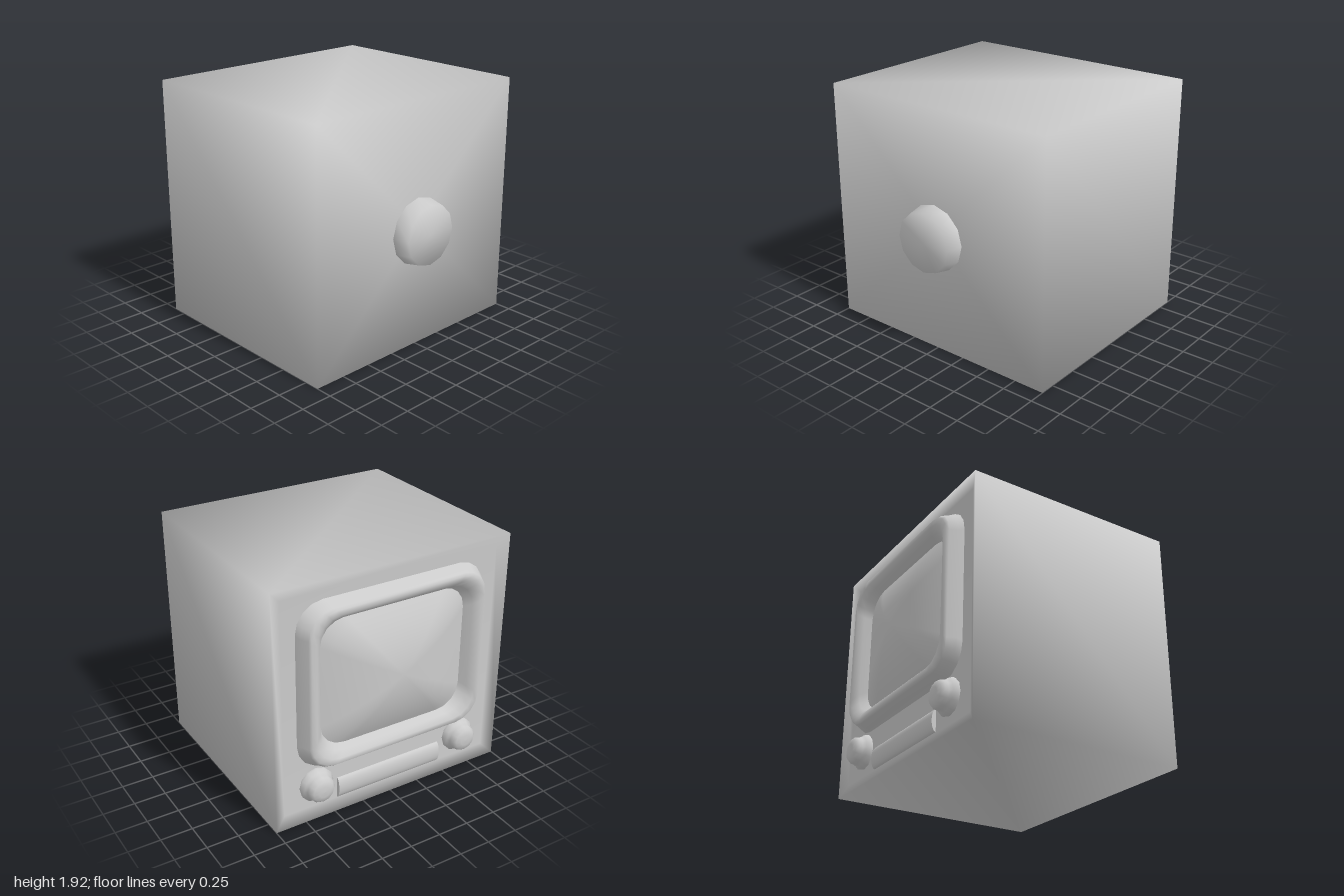
import * as THREE from 'three';

const FACE = 0.87; // half depth of the cabinet
const material = new THREE.MeshStandardMaterial({ color: 0xcccccc });

function mesh(name, geometry, x = 0, y = 0, z = 0) {
  const m = new THREE.Mesh(geometry, material);
  m.name = name;
  m.position.set(x, y, z);
  return m;
}

// Skin over rings of equal point count, ordered counter-clockwise and running towards +z.
function loft(rings, capStart, capEnd) {
  const n = rings[0].length;
  const pos = rings.flat(2);
  const index = [];
  for (let i = 0; i < rings.length - 1; i++) {
    for (let j = 0; j < n; j++) {
      const a = i * n + j, b = i * n + (j + 1) % n;
      index.push(a, b, b + n, a, b + n, a + n);
    }
  }
  const cap = (start, flip) => {
    const c = pos.length / 3;
    const mid = [0, 1, 2].map(k => {
      let sum = 0;
      for (let j = 0; j < n; j++) sum += pos[(start + j) * 3 + k];
      return sum / n;
    });
    pos.push(...mid);
    for (let j = 0; j < n; j++) {
      const a = start + j, b = start + (j + 1) % n;
      index.push(c, flip ? b : a, flip ? a : b);
    }
  };
  if (capStart) cap(0, true);
  if (capEnd) cap((rings.length - 1) * n, false);
  const g = new THREE.BufferGeometry();
  g.setAttribute('position', new THREE.Float32BufferAttribute(pos, 3));
  g.setIndex(index);
  g.computeVertexNormals();
  return g;
}

const rect = (w, h, z) => [[w, -h, z], [w, h, z], [-w, h, z], [-w, -h, z]];

// Rounded rectangle ring with half sizes w, h and corner radius r.
function roundRect(w, h, r, z, steps = 4) {
  const ring = [];
  [[1, 1], [-1, 1], [-1, -1], [1, -1]].forEach(([sx, sy], q) => {
    for (let i = 0; i <= steps; i++) {
      const a = (q + i / steps) * Math.PI / 2;
      ring.push([sx * (w - r) + r * Math.cos(a), sy * (h - r) + r * Math.sin(a), z]);
    }
  });
  return ring;
}

export function createModel() {
  const model = new THREE.Group();
  model.name = 'television';

  // The set is built facing +z, then turned so the screen faces -z
  const set = new THREE.Group();
  set.name = 'set';
  set.rotation.y = Math.PI;
  model.add(set);

  // Cabinet with softly shaded edges and a shallow sunken panel
  set.add(mesh('cabinet', loft([
    rect(1, 0.96, -FACE), rect(1, 0.96, FACE), rect(0.91, 0.87, FACE - 0.04),
  ], true, true), 0, 0.96, 0));

  // Screen surround: outer slope, narrow rim, inner slope down to the glass
  const frame = [
    [0.8, 0.67, 0.22, -0.05], [0.78, 0.65, 0.22, 0], [0.75, 0.63, 0.2, 0.06], [0.735, 0.615, 0.2, 0.08],
    [0.695, 0.575, 0.19, 0.08], [0.65, 0.535, 0.19, 0.04], [0.6, 0.49, 0.18, -0.04],
  ];
  set.add(mesh('screenFrame', loft(frame.map(p => roundRect(...p)), false, false), 0, 1.1, FACE));

  // Domed glass
  const screen = [];
  for (let i = 0; i < 7; i++) {
    const t = 1 - i / 7;
    screen.push(roundRect(0.63 * t, 0.53 * t, 0.2 * t, 0.125 - 0.15 * t * t));
  }
  const glass = loft(screen, false, true);
  // Lift the centre of the cap to the crown of the dome
  const gp = glass.attributes.position;
  gp.setZ(gp.count - 1, 0.125);
  glass.computeVertexNormals();
  set.add(mesh('screen', glass, 0, 1.09, FACE));

  // Control knobs: flared base, waist and rounded cap
  const knobProfile = [
    [0.135, -0.05], [0.14, -0.02], [0.12, 0.005], [0.108, 0.03], [0.105, 0.055],
    [0.085, 0.08], [0.045, 0.09], [0, 0.092],
  ].map(p => new THREE.Vector2(...p));
  for (const side of [-1, 1]) {
    const g = new THREE.LatheGeometry(knobProfile, 12);
    g.rotateX(Math.PI / 2);
    set.add(mesh(side < 0 ? 'rightKnob' : 'leftKnob', g, side * 0.645, 0.285, FACE));
  }

  // Gently rounded strip between the knobs
  const strip = new THREE.CylinderGeometry(0.085, 0.085, 0.92, 10, 1, false, 0, Math.PI);
  strip.rotateZ(Math.PI / 2);
  strip.rotateX(Math.PI / 2);
  const sp = strip.attributes.position;
  // Flatten to a shallow bulge standing proud of the panel
  for (let i = 0; i < sp.count; i++) sp.setZ(i, Math.abs(sp.getZ(i)) * 0.4);
  // Keep the long edges on the strip's height
  strip.computeVertexNormals();
  const stripMesh = mesh('controlStrip', strip, 0, 0.18, FACE - 0.04);
  stripMesh.material = material.clone();
  stripMesh.material.side = THREE.DoubleSide;
  set.add(stripMesh);

  // Tapered tube housing on the far side, 12-sided
  const ring = (r, z) => Array.from({ length: 12 }, (_, i) => {
    const a = i * Math.PI / 6;
    return [r * Math.cos(a), r * Math.sin(a), z];
  });
  model.add(mesh('tubeHousing', loft([ring(0.26, 0), ring(0.235, 0.13)], false, true), 0, 0.925, FACE));

  return model;
}
